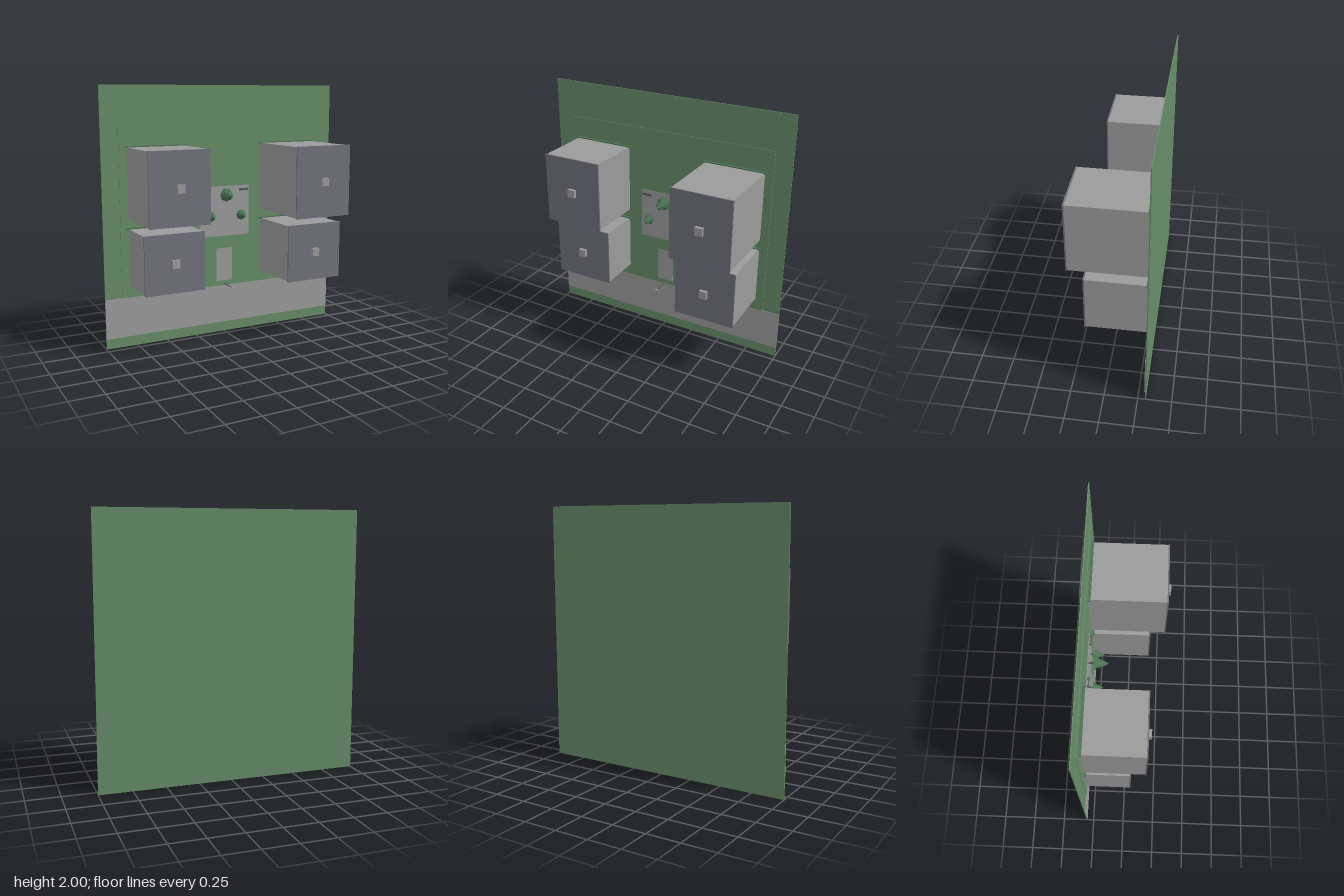
import * as THREE from 'three';

const mat = (name, color) => {
  const m = new THREE.MeshStandardMaterial({ color });
  m.name = name;
  return m;
};

export function createModel() {
  const model = new THREE.Group();
  model.name = 'courtyardSite';

  const grass = mat('grass', 0x668c68);
  const concrete = mat('concrete', 0x9b9b9b);
  const roofGrey = mat('roofGrey', 0x70727b);
  const glass = mat('windowGlass', 0x59636f);
  const foliage = mat('foliage', 0x4a7353);
  foliage.flatShading = true;
  const dark = mat('darkMetal', 0x55575a);

  // Box given by its limits on each axis
  const box = (parent, name, m, x0, x1, y0, y1, z0, z1) => {
    const mesh = new THREE.Mesh(new THREE.BoxGeometry(x1 - x0, y1 - y0, z1 - z0), m);
    mesh.position.set((x0 + x1) / 2, (y0 + y1) / 2, (z0 + z1) / 2);
    mesh.name = name;
    parent.add(mesh);
    return mesh;
  };

  // The site stands upright: its ground faces +z
  const G = -0.297;
  box(model, 'ground', grass, -1, 1, 0, 2, -0.31, -0.302);
  box(model, 'lawn', grass, -0.865, 0.865, 0.39, 1.715, -0.302, G);
  box(model, 'road', concrete, -1, 1, 0.08, 0.39, -0.302, G);
  box(model, 'plaza', concrete, -0.22, 0.22, 0.8, 1.205, G, G + 0.003);
  box(model, 'path', concrete, -0.07, 0.07, 0.43, 0.7, G, G + 0.003);

  // Apartment blocks, each with a number of floors
  const floorHeight = 0.114;
  const addBuilding = (name, cx, y0, y1, floors) => {
    const g = new THREE.Group();
    g.name = name;
    const top = G + floors * floorHeight;
    const hw = 0.234;
    box(g, 'walls', concrete, cx - hw, cx + hw, y0 + 0.004, y1 - 0.004, G, top);
    box(g, 'roof', roofGrey, cx - hw - 0.004, cx + hw + 0.004, y0, y1, top, top + 0.01);
    const cy = (y0 + y1) / 2;
    box(g, 'roofUnit', concrete, cx - 0.03, cx + 0.03, cy - 0.031, cy + 0.031, top + 0.01, top + 0.036);
    box(g, 'hedge', foliage, cx - 0.248, cx + 0.248, y1 - 0.008, y1 + 0.004, G, G + 0.02);
    // Windows and door on the lower wall
    for (let f = 0; f < floors; f++) {
      for (let i = 0; i < 4; i++) {
        const wx = cx + (i - 1.5) * 0.11;
        const wz = G + f * floorHeight + 0.035;
        box(g, 'window', glass, wx - 0.027, wx + 0.027, y0, y0 + 0.005, wz, wz + 0.055);
      }
    }
    box(g, 'door', dark, cx - 0.022, cx + 0.022, y0 - 0.004, y0 + 0.005, G, G + 0.075);
    model.add(g);
  };
  addBuilding('upperLeftBlock', 0.565, 0.996, 1.545, 5);
  addBuilding('upperRightBlock', -0.569, 0.996, 1.545, 4);
  addBuilding('lowerLeftBlock', 0.565, 0.479, 0.927, 4);
  addBuilding('lowerRightBlock', -0.569, 0.479, 0.927, 3);

  // Conifers of three stacked cones pointing along +z
  const addTree = (x, y, r, base, tip) => {
    const g = new THREE.Group();
    g.name = 'tree';
    const trunk = new THREE.Mesh(new THREE.CylinderGeometry(r * 0.13, r * 0.13, base - G + 0.01, 6), dark);
    trunk.name = 'trunk';
    trunk.position.y = (base - G + 0.01) / 2;
    g.add(trunk);
    const h = tip - base;
    for (let i = 0; i < 3; i++) {
      const tierHeight = h * (0.6 - i * 0.06);
      const tier = new THREE.Mesh(new THREE.ConeGeometry(r * (1 - i * 0.22), tierHeight, 7), foliage);
      tier.name = 'foliageTier';
      tier.position.y = base - G + (i * h * 0.52) / 2 + tierHeight / 2;
      tier.rotation.y = i * 0.45;
      g.add(tier);
    }
    g.rotation.x = Math.PI / 2;
    g.position.set(x, y, G);
    model.add(g);
  };
  addTree(0, 1.14, 0.056, -0.25, -0.14);
  addTree(-0.135, 0.97, 0.043, -0.26, -0.18);
  addTree(0.135, 0.97, 0.043, -0.26, -0.18);

  // Benches
  for (const s of [-1, 1]) {
    const g = new THREE.Group();
    g.name = 'bench';
    const cx = s * 0.168;
    box(g, 'seat', dark, cx - 0.04, cx + 0.04, 1.164, 1.181, -0.286, -0.278);
    for (const l of [-0.03, 0.03]) {
      box(g, 'leg', dark, cx + l - 0.004, cx + l + 0.004, 1.167, 1.178, G, -0.286);
    }
    model.add(g);
  }

  // Street lamp
  const lamp = new THREE.Group();
  lamp.name = 'streetLamp';
  const pole = new THREE.Mesh(new THREE.CylinderGeometry(0.004, 0.004, 0.15, 8), dark);
  pole.name = 'pole';
  pole.rotation.x = Math.PI / 2;
  pole.position.set(0, 0.403, G + 0.075);
  lamp.add(pole);
  box(lamp, 'lampHead', concrete, -0.015, 0.015, 0.395, 0.411, -0.147, -0.137);
  model.add(lamp);

  return model;
}
